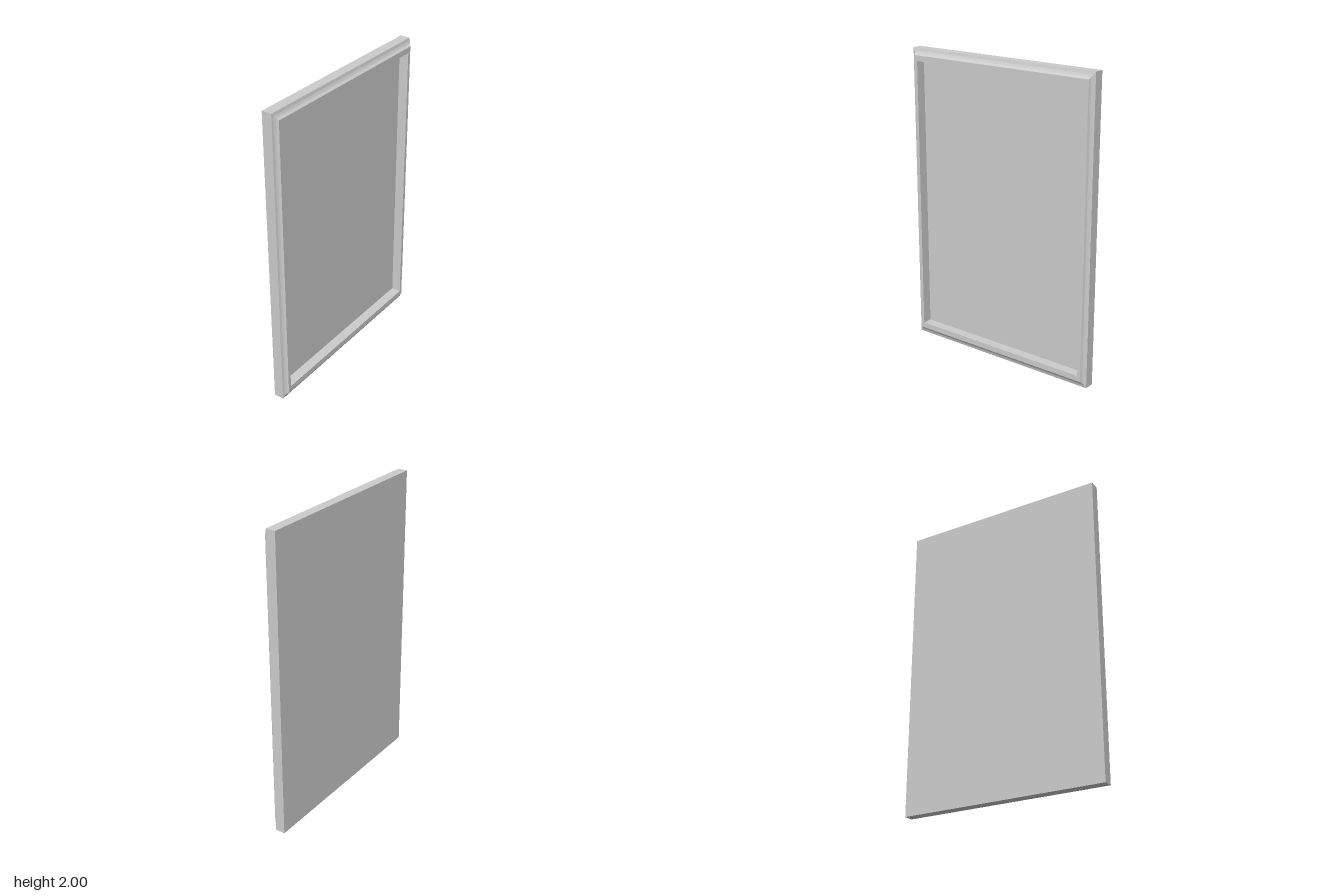
import * as THREE from 'three';

const HALF_W = 0.692, HEIGHT = 2;
const BACK = -0.048, FLOOR = -0.02;

// Moulding section from back edge to recess floor: [inset in x, inset in y, z]
const profile = [
  [0, 0, BACK],
  [0, 0, 0.018],
  [0.013, 0.018, 0.023],
  [0.023, 0.032, 0.031],
  [0.030, 0.044, 0.045],
  [0.052, 0.081, 0.045],
  [0.052, 0.081, FLOOR],
];

// Four mitred corners of the rectangle at one profile point
function ring([ix, iy, z]) {
  const x = HALF_W - ix, y0 = iy, y1 = HEIGHT - iy;
  return [[-x, y0, z], [x, y0, z], [x, y1, z], [-x, y1, z]];
}

// Sweep the section around the rectangle, mitred at the corners
function mouldingGeometry() {
  const pos = [];
  for (let i = 0; i < profile.length - 1; i++) {
    const a = ring(profile[i]), b = ring(profile[i + 1]);
    for (let k = 0; k < 4; k++) {
      const n = (k + 1) % 4;
      pos.push(...a[k], ...a[n], ...b[n], ...a[k], ...b[n], ...b[k]);
    }
  }
  const geo = new THREE.BufferGeometry();
  geo.setAttribute('position', new THREE.Float32BufferAttribute(pos, 3));
  geo.computeVertexNormals();
  return geo;
}

export function createModel() {
  const group = new THREE.Group();
  group.name = 'pictureFrame';
  const material = new THREE.MeshStandardMaterial({ color: 0xcccccc, flatShading: true });

  const add = (name, geometry) => {
    const mesh = new THREE.Mesh(geometry, material);
    mesh.name = name;
    group.add(mesh);
    return mesh;
  };

  add('frameMoulding', mouldingGeometry());

  // Recessed panel facing forward
  const [ix, iy] = profile[profile.length - 1];
  add('picturePanel', new THREE.PlaneGeometry(2 * (HALF_W - ix), HEIGHT - 2 * iy))
    .position.set(0, HEIGHT / 2, FLOOR);

  // Flat back
  const back = add('backBoard', new THREE.PlaneGeometry(2 * HALF_W, HEIGHT));
  back.position.set(0, HEIGHT / 2, BACK);
  back.rotation.y = Math.PI;

  return group;
}
